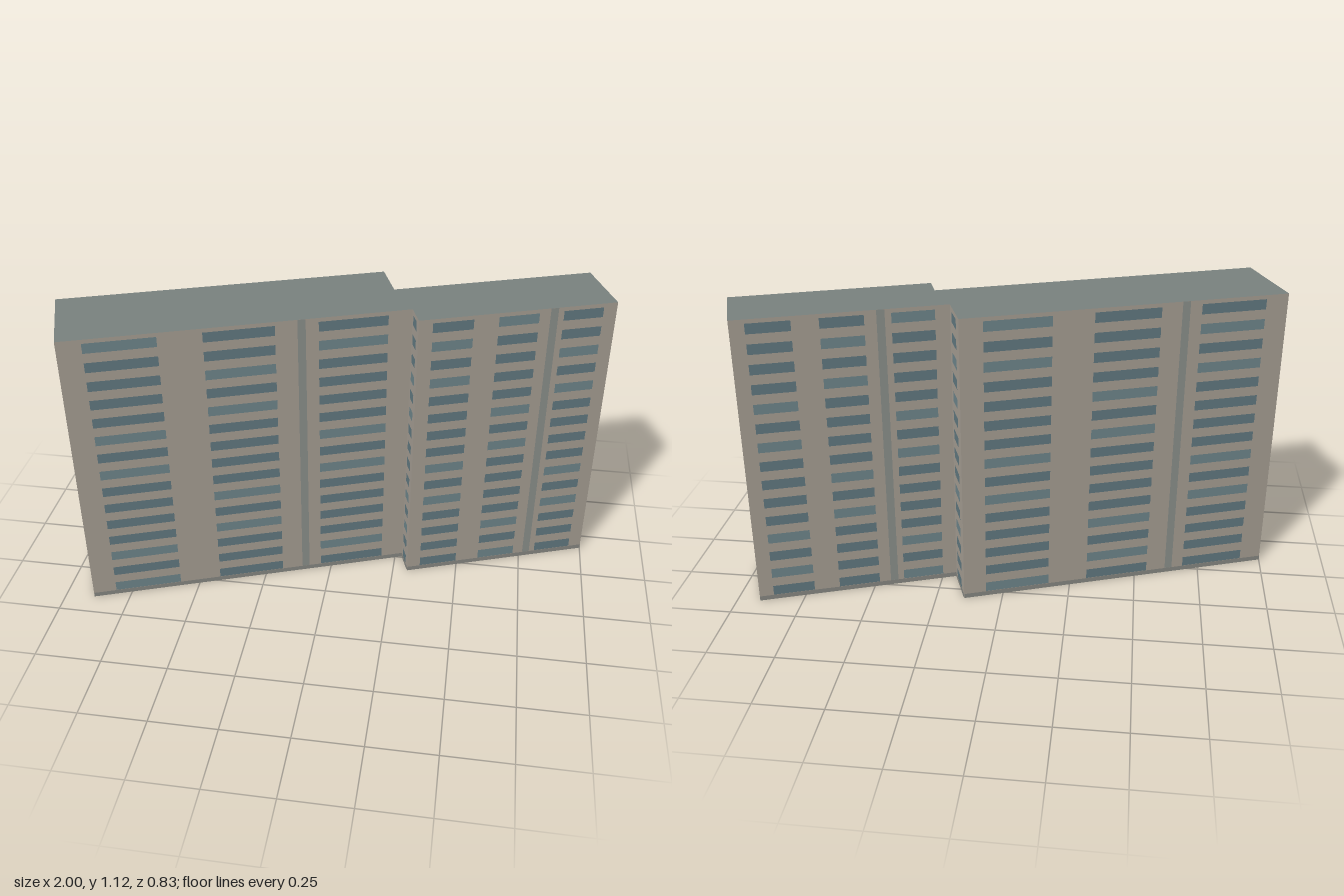
import * as THREE from 'three';
import { mergeGeometries } from 'three/addons/utils/BufferGeometryUtils.js';

const HEIGHT = 1.125, FLOORS = 15, STOREY = 0.0752;
const SILL = 0.019, WINDOW_H = 0.0385, SKIN = 0.0015;

// Footprint corners [x, z], running so that each wall faces outwards
const FOOTPRINT = [
  [-1, 0.103], [-0.888, 0.414], [0.278, -0.008], [0.307, 0.077],
  [1, -0.172], [0.913, -0.413], [0.197, -0.158], [0.143, -0.307],
];

const paint = (color) => new THREE.MeshStandardMaterial({ color, roughness: 0.9, side: THREE.DoubleSide });
const skin = (color) => new THREE.MeshStandardMaterial({ color, roughness: 0.9 });

// Upright rectangle in wall coordinates
function panel(x0, x1, y0, y1, z = 0) {
  const g = new THREE.PlaneGeometry(x1 - x0, y1 - y0);
  return g.translate((x0 + x1) / 2, (y0 + y1) / 2, z);
}

export function createModel() {
  const model = new THREE.Group();
  model.name = 'apartmentBlock';
  const concrete = paint(0xaaa297);
  const roofing = paint(0x7b8380);
  const plinthMat = skin(0x8a8b85);
  const stripMat = skin(0x8f948f);
  const glass = [skin(0x647c84), skin(0x71898f)];

  const add = (parent, name, geometry, material) => {
    const mesh = new THREE.Mesh(geometry, material);
    mesh.name = name;
    parent.add(mesh);
  };

  FOOTPRINT.forEach(([x, z], i) => {
    const [x2, z2] = FOOTPRINT[(i + 1) % FOOTPRINT.length];
    const length = Math.hypot(x2 - x, z2 - z);
    const facade = new THREE.Group();
    facade.name = 'facade' + (i + 1);
    facade.position.set(x, 0, z);
    facade.rotation.y = Math.atan2(z - z2, x2 - x);

    add(facade, 'wall', panel(0, length, 0, HEIGHT), concrete);
    add(facade, 'plinth', panel(0, length, 0, 0.018, SKIN), plinthMat);

    // Three window bays on the main walls, one on the short steps
    const narrow = length < 0.2;
    const inset = length < 0.4 ? 0.1 : 0.07;
    const bays = narrow ? [[0.22, 0.74]]
      : [[inset, inset + 0.203], [0.399, 0.602], [0.797 - inset, 1 - inset]];
    const panes = [[], []];
    bays.forEach(([a, b], bay) => {
      for (let floor = 0; floor < FLOORS; floor++) {
        const y = SILL + floor * STOREY;
        const tint = (floor * 3 + bay * 5 + i) % 7 < 2 ? 1 : 0;
        panes[tint].push(panel(a * length, b * length, y, y + WINDOW_H, SKIN));
      }
    });
    panes.forEach((list, tint) =>
      add(facade, tint ? 'lightWindows' : 'darkWindows', mergeGeometries(list), glass[tint]));

    // Vertical strip beside the third bay
    if (!narrow) {
      const half = length < 0.4 ? 0.009 : 0.0145;
      add(facade, 'verticalStrip',
        panel(0.678 * length - half, 0.678 * length + half, 0.018, HEIGHT, SKIN * 0.7), stripMat);
    }
    model.add(facade);
  });

  // Flat roof over the whole footprint; the underside stays open
  const outline = new THREE.Shape(FOOTPRINT.map(([x, z]) => new THREE.Vector2(x, -z)));
  const roof = new THREE.ShapeGeometry(outline).rotateX(-Math.PI / 2).translate(0, HEIGHT, 0);
  add(model, 'roof', roof, roofing);
  return model;
}
